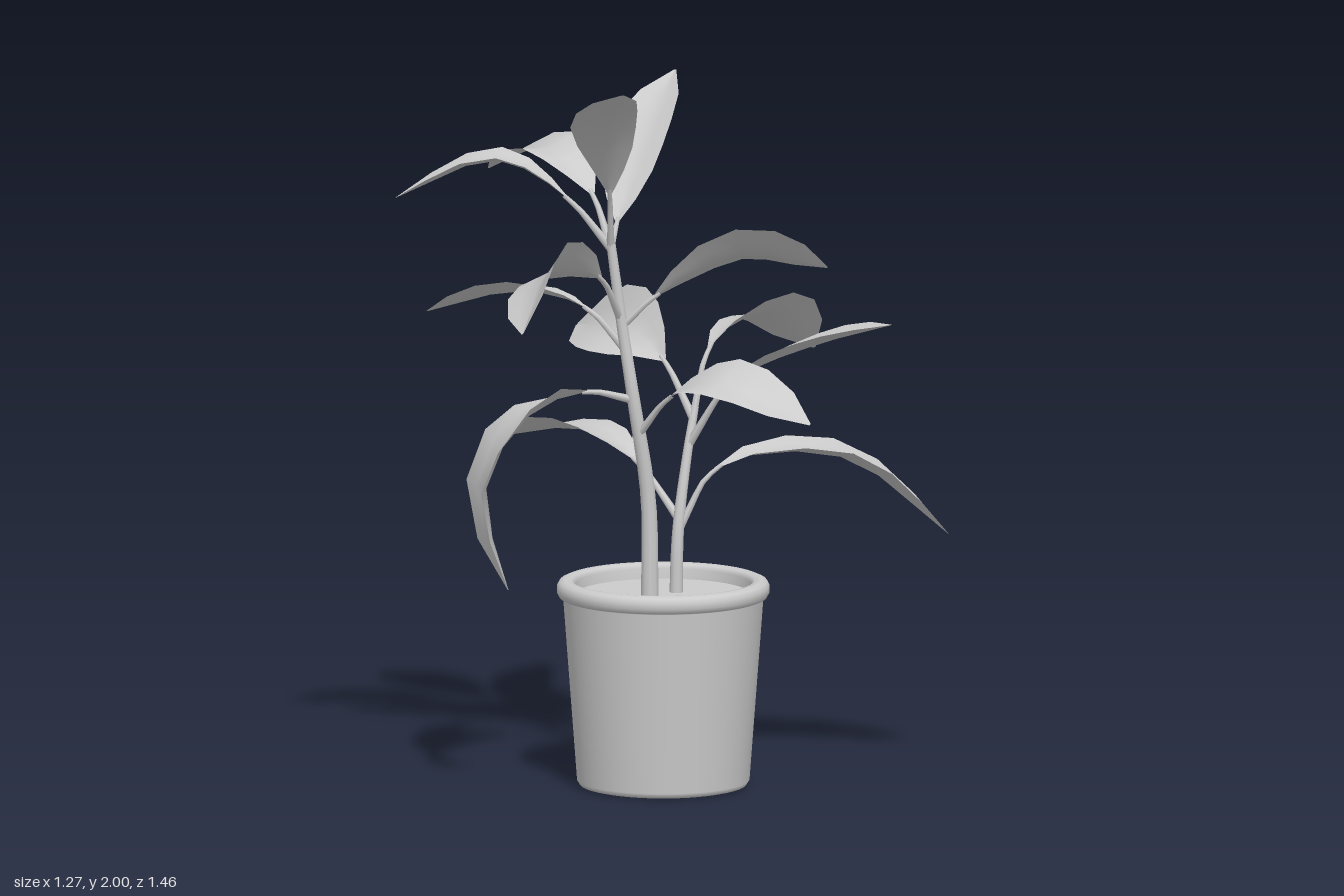
import * as THREE from 'three';

const grey = new THREE.MeshStandardMaterial({ color: 0xcccccc });
const leafGrey = new THREE.MeshStandardMaterial({ color: 0xcccccc, side: THREE.DoubleSide });
const V = (p) => new THREE.Vector3(...p);

function add(group, name, geometry, material = grey) {
  const mesh = new THREE.Mesh(geometry, material);
  mesh.name = name;
  group.add(mesh);
  return mesh;
}

// Tube along a curve whose radius shrinks from r0 to r1
function taperedTube(curve, segments, r0, r1, sides) {
  const geo = new THREE.TubeGeometry(curve, segments, 1, sides);
  const pos = geo.attributes.position;
  const p = new THREE.Vector3();
  for (let i = 0; i < pos.count; i++) {
    const t = Math.floor(i / (sides + 1)) / segments;
    const c = curve.getPointAt(t);
    p.fromBufferAttribute(pos, i).sub(c).multiplyScalar(r0 + (r1 - r0) * t).add(c);
    pos.setXYZ(i, p.x, p.y, p.z);
  }
  return geo;
}

// Leaf blade: folded cross-sections swept along the midrib; roll lifts the right-hand edge
const OUTLINE = [0.06, 0.48, 0.84, 1, 0.96, 0.7, 0.04];
function bladeGeometry(curve, t0, halfWidth, roll, upHint) {
  const across = 4, rows = OUTLINE.length;
  const positions = [], index = [];
  for (let i = 0; i < rows; i++) {
    const t = t0 + (1 - t0) * i / (rows - 1);
    const centre = curve.getPoint(t), tangent = curve.getTangent(t);
    const side = tangent.clone().cross(upHint).normalize().applyAxisAngle(tangent, -roll);
    const up = side.clone().cross(tangent);
    const w = halfWidth * OUTLINE[i];
    for (let j = 0; j <= across; j++) {
      const s = j / across * 2 - 1;
      const p = centre.clone().addScaledVector(side, s * w).addScaledVector(up, Math.abs(s) * w * 0.25);
      positions.push(p.x, p.y, p.z);
      if (i && j) {
        const d = i * (across + 1) + j, c = d - 1, b = d - across - 1, a = b - 1;
        index.push(a, b, c, b, d, c);
      }
    }
  }
  const geo = new THREE.BufferGeometry();
  geo.setAttribute('position', new THREE.Float32BufferAttribute(positions, 3));
  geo.setIndex(index);
  geo.computeVertexNormals();
  return geo;
}

// Each leaf: path (stem joint, blade base, middle, tip), half width, roll, up hint
const TOP = [-0.055, 1.5, 0.16];
const TALL_LEAVES = [
  { path: [[-0.035, 1.28, 0.14], [0.05, 1.37, 0.09], [0.25, 1.49, -0.03], [0.44, 1.445, -0.165]], w: 0.1, roll: 0.6 },
  { path: [[0, 0.97, 0.12], [0.12, 1.1, 0.13], [0.32, 1.16, 0.17], [0.585, 1.07, 0.15]], w: 0.095, roll: -0.4 },
  { path: [TOP, [-0.02, 1.67, 0.22], [0.05, 1.86, 0.36], [0.205, 2, 0.505]], w: 0.09 },
  { path: [[-0.035, 1.3, 0.14], [-0.03, 1.44, 0.26], [-0.04, 1.485, 0.5], [0.025, 1.355, 0.73]], w: 0.105, roll: -0.72 },
  { path: [[0, 1.08, 0.13], [-0.09, 1.11, 0.24], [-0.19, 1.05, 0.37], [-0.28, 0.85, 0.44], [-0.22, 0.575, 0.42]],
    w: 0.145, up: [-0.7, 0.3, 0.6] },
  { path: [TOP, [-0.16, 1.64, 0.22], [-0.33, 1.74, 0.31], [-0.58, 1.63, 0.43]], w: 0.09 },
  { path: [TOP, [-0.15, 1.64, 0.11], [-0.33, 1.735, 0.04], [-0.585, 1.64, -0.05]], w: 0.095, roll: 0.15 },
  { path: [[-0.025, 1.22, 0.135], [-0.13, 1.33, 0.17], [-0.33, 1.36, 0.2], [-0.6, 1.285, 0.24]], w: 0.09, roll: -0.2 },
  { path: [TOP, [-0.065, 1.57, 0.11], [-0.1, 1.755, -0.045], [-0.105, 1.93, -0.245]], w: 0.088 },
];
const SHORT_LEAVES = [
  { path: [[0.045, 1.0, -0.1], [0.045, 1.19, -0.19], [0.06, 1.24, -0.45], [0.035, 1.1, -0.73]], w: 0.105, roll: 0.4 },
  { path: [[0.045, 0.7, -0.03], [0.12, 0.87, -0.11], [0.36, 0.88, -0.37], [0.575, 0.66, -0.565]], w: 0.125 },
  { path: [[0.045, 0.93, -0.08], [0.17, 1.11, -0.1], [0.4, 1.225, -0.14], [0.63, 1.3, -0.19]], w: 0.1 },
  { path: [[0.045, 1.0, -0.1], [-0.08, 1.15, -0.14], [-0.27, 1.205, -0.235], [-0.51, 1.165, -0.38]], w: 0.12, roll: 0.75 },
  { path: [[0.04, 0.73, -0.035], [-0.15, 0.865, -0.11], [-0.37, 0.92, -0.165], [-0.635, 0.87, -0.21]], w: 0.115, roll: -0.15 },
];

function makePlant(name, stemPath, r0, r1, leaves) {
  const plant = new THREE.Group();
  plant.name = name;
  add(plant, 'stem', taperedTube(new THREE.CatmullRomCurve3(stemPath.map(V)), 16, r0, r1, 10));
  leaves.forEach(({ path, w, roll = 0, up = [0, 1, 0] }, i) => {
    const leaf = new THREE.Group();
    leaf.name = 'leaf' + (i + 1);
    const curve = new THREE.CatmullRomCurve3(path.map(V));
    const t0 = 0.95 / (path.length - 1);
    const stalk = new THREE.CatmullRomCurve3([0, 0.35, 0.7, 1].map((k) => curve.getPoint(k * t0 * 1.1)));
    add(leaf, 'leafStalk', taperedTube(stalk, 6, 0.012, 0.006, 6));
    add(leaf, 'leafBlade', bladeGeometry(curve, t0, w, roll, V(up).normalize()), leafGrey);
    plant.add(leaf);
  });
  return plant;
}

export function createModel() {
  const model = new THREE.Group();
  model.name = 'pottedPlant';

  // Tapered pot with rounded foot and rolled rim
  const profile = [[0, 0.005], [0.212, 0.005], [0.228, 0.009], [0.236, 0.022], [0.274, 0.525], [0.284, 0.529],
    [0.291, 0.542], [0.291, 0.558], [0.284, 0.571], [0.27, 0.577], [0.25, 0.574], [0.24, 0.562], [0.236, 0.5]];
  const pot = new THREE.Group();
  pot.name = 'pot';
  pot.position.set(0.032, -0.005, 0.03);
  add(pot, 'potBody', new THREE.LatheGeometry(profile.map((p) => new THREE.Vector2(...p)), 48), leafGrey);
  const soil = add(pot, 'soil', new THREE.CircleGeometry(0.24, 48));
  soil.rotation.x = -Math.PI / 2;
  soil.position.y = 0.535;
  model.add(pot);

  // Two plants sharing the pot
  model.add(makePlant('tallPlant',
    [[0.025, 0.51, 0.087], [0.022, 0.8, 0.09], [0, 1.08, 0.13], [-0.03, 1.28, 0.14], [-0.055, 1.53, 0.163]], 0.025, 0.013, TALL_LEAVES));
  model.add(makePlant('shortPlant',
    [[0.045, 0.51, -0.015], [0.045, 0.7, -0.025], [0.045, 0.9, -0.07], [0.045, 1.03, -0.11]], 0.019, 0.011, SHORT_LEAVES));
  return model;
}
